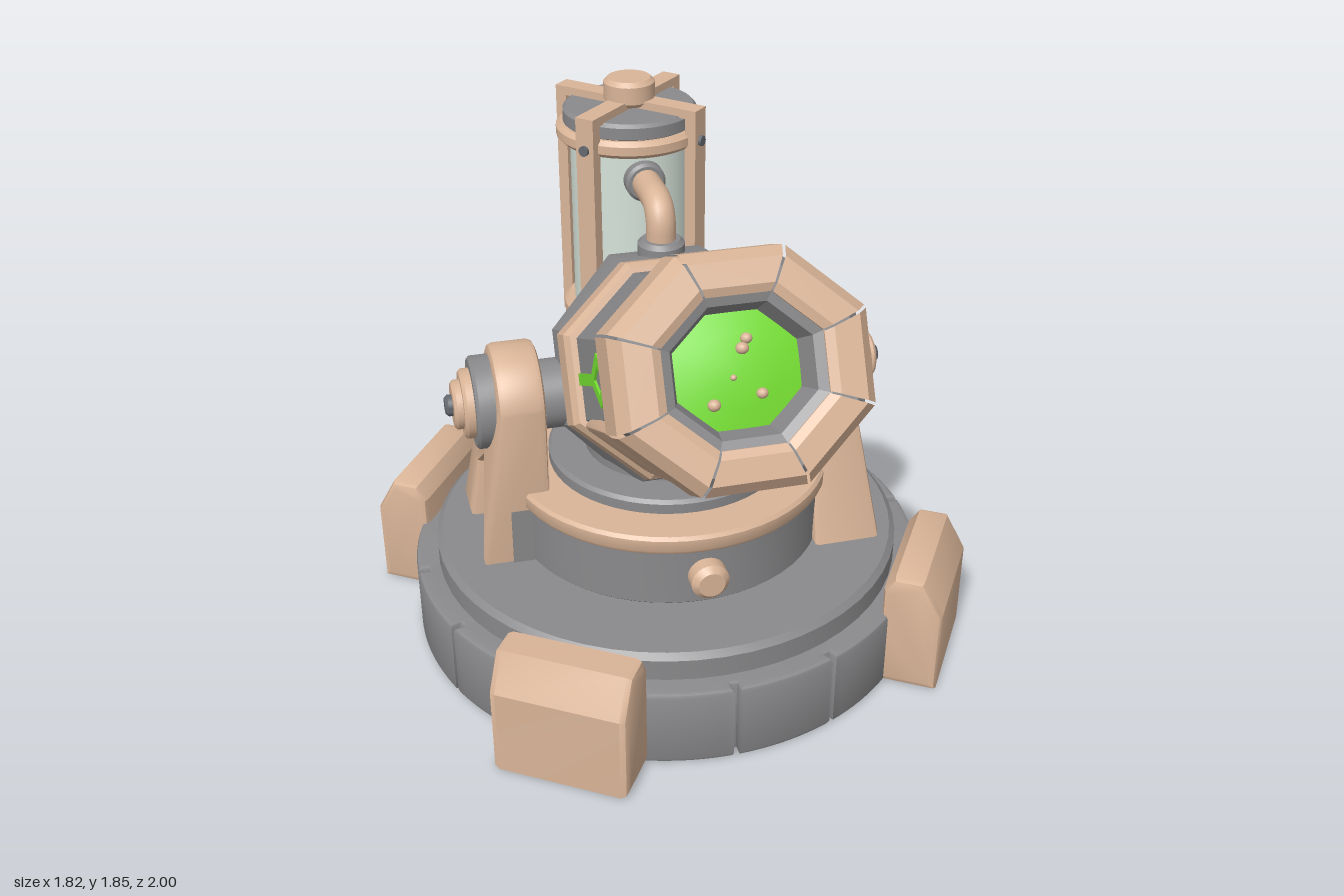
import * as THREE from 'three';
import { toCreasedNormals } from 'three/addons/utils/BufferGeometryUtils.js';

const material = (name, color) => {
  const m = new THREE.MeshStandardMaterial({ color });
  m.name = name;
  return m;
};

export function createModel() {
  const tan = material('tan', 0xdab598);
  const grey = material('grey', 0x8a8a8c);
  const green = material('green', 0x74dc30);
  const glass = material('glass', 0xd6e3da);
  const dark = material('dark grey', 0x666a70);

  const add = (parent, name, geo, mat, x = 0, y = 0, z = 0) => {
    const m = new THREE.Mesh(geo, mat);
    m.name = name;
    m.position.set(x, y, z);
    parent.add(m);
    return m;
  };
  const group = (parent, name, x = 0, y = 0, z = 0) => {
    const g = new THREE.Group();
    g.name = name;
    g.position.set(x, y, z);
    parent.add(g);
    return g;
  };
  const vecs = (pts, k = 1) => pts.map(([r, h]) => new THREE.Vector2(r * k, h));
  // round solid from a profile of [radius, height]
  const turned = (pts, seg = 56) => toCreasedNormals(new THREE.LatheGeometry(vecs(pts), seg), 0.6);
  // bevelled disc from y0 to y1
  const disc = (r, y0, y1, b = 0.012, seg = 56) =>
    turned([[0, y0], [r - b, y0], [r, y0 + b], [r, y1 - b], [r - b, y1], [0, y1]], seg);
  // eight-sided solid along z from [apothem, z] points, flats facing up and down
  const K = 1 / Math.cos(Math.PI / 8);
  const octagon = (pts, crease = 0.3) => toCreasedNormals(
    new THREE.LatheGeometry(vecs(pts, K), 8, Math.PI / 8, Math.PI * 2).rotateX(Math.PI / 2), crease);
  // one side of such a solid; side 0 faces down
  const panel = (pts, k, gap) => toCreasedNormals(
    new THREE.LatheGeometry(vecs(pts, K), 1, (k - 0.5) * Math.PI / 4 + gap, Math.PI / 4 - 2 * gap)
      .rotateX(Math.PI / 2), 0.3);
  const polygon = (pts) => new THREE.Shape(vecs(pts));
  const extrude = (shape, depth, bevel = 0, curveSegments = 16) => toCreasedNormals(
    new THREE.ExtrudeGeometry(shape, {
      depth: depth - 2 * bevel, bevelEnabled: bevel > 0, bevelSize: bevel, bevelOffset: -bevel,
      bevelThickness: bevel, bevelSegments: 2, curveSegments,
    }).translate(0, 0, bevel), 0.5);

  const model = new THREE.Group();
  model.name = 'turretModel';

  // ---- base with notched rim and four corner feet
  const base = group(model, 'base', 0, 0, -0.09);
  const rim = new THREE.Shape();
  const notch = 0.009;
  for (let k = 0; k < 4; k++) {
    const c = k * Math.PI / 2;
    [[c - 0.2, c + 0.2], [c + 0.2, c + Math.PI / 2 - 0.2]].forEach(([a, b]) => {
      rim.absarc(0, 0, 0.91, a + notch, b - notch, false);
      rim.absarc(0, 0, 0.875, b - notch, b + notch, false);
    });
  }
  add(base, 'baseRim', extrude(rim, 0.28, 0.015).rotateX(-Math.PI / 2), grey);
  add(base, 'basePlate', disc(0.83, 0.2, 0.375, 0.02), grey);

  const footProfile = polygon([[0.83, 0], [1.06, 0], [1.06, 0.31], [0.99, 0.435], [0.89, 0.435], [0.855, 0.38], [0.855, 0.2]]);
  for (let k = 0; k < 4; k++) {
    const foot = group(base, 'foot');
    foot.rotation.y = Math.PI / 4 + k * Math.PI / 2;
    add(foot, 'footBlock', extrude(footProfile, 0.47, 0.025), tan, 0, 0, -0.235);
  }

  // ---- rotating turntable
  const turret = group(model, 'turret', 0, 0, -0.08);
  turret.rotation.y = -0.21;
  add(turret, 'drum', disc(0.545, 0.36, 0.6, 0.02), grey);
  add(turret, 'drumRing', turned([[0.4, 0.585], [0.555, 0.585], [0.565, 0.6], [0.565, 0.64], [0.555, 0.652], [0.4, 0.652]]), tan);
  add(turret, 'upperPlate', disc(0.42, 0.6, 0.7), grey);
  add(turret, 'neck', disc(0.29, 0.68, 0.83), grey);
  add(turret, 'frontKnob', disc(0.065, 0, 0.1, 0.02, 28).rotateX(Math.PI / 2), tan, 0, 0.485, 0.51);

  // ---- side posts with hubs and chevron panels
  const postShape = new THREE.Shape();
  postShape.moveTo(0.335, 0.37);
  postShape.absarc(0, 0.94, 0.19, 0.15, Math.PI - 0.15, false);
  [[-0.335, 0.37], [-0.16, 0.37], [-0.16, 0.6], [0, 0.735], [0.16, 0.6], [0.16, 0.37]]
    .forEach(([x, y]) => postShape.lineTo(x, y));
  const postRaw = new THREE.ExtrudeGeometry(postShape, {
    depth: 0.115, bevelSize: 0.022, bevelOffset: -0.022, bevelThickness: 0.022, bevelSegments: 2, curveSegments: 20,
  }).rotateY(Math.PI / 2).translate(0.475, 0, 0);
  // the outer face leans outward toward the foot
  const pos = postRaw.attributes.position;
  for (let i = 0; i < pos.count; i++) {
    if (pos.getX(i) > 0.54) pos.setX(i, pos.getX(i) + Math.max(0, 0.94 - pos.getY(i)) * 0.15);
  }
  const postGeo = toCreasedNormals(postRaw, 0.5);
  const insetShape = polygon([[-0.17, 0.37], [0.17, 0.37], [0.17, 0.61], [0, 0.745], [-0.17, 0.61]]);
  const chevron = (y) => polygon([[-0.15, y + 0.085], [-0.15, y + 0.035], [0, y - 0.045], [0.15, y + 0.035],
    [0.15, y + 0.085], [0, y + 0.01]]);
  const marks = [chevron(0.425), chevron(0.515),
    polygon([[0, 0.595], [0.05, 0.645], [0, 0.695], [-0.05, 0.645]])];
  for (const side of [1, -1]) {
    const mount = group(turret, side > 0 ? 'leftMount' : 'rightMount');
    if (side < 0) mount.rotation.y = Math.PI;
    add(mount, 'post', postGeo, tan);
    add(mount, 'postInset', extrude(insetShape, 0.1).rotateY(Math.PI / 2), grey, 0.49);
    marks.forEach((s) => add(mount, 'chevronMark', extrude(s, 0.009).rotateY(Math.PI / 2), green, 0.5905));
    const hubs = [['axle', 0.12, 0.2, 0.5, grey], ['hubDisc', 0.16, 0.6, 0.68, grey],
      ['hubCap', 0.12, 0.66, 0.715, tan], ['hubBoss', 0.085, 0.7, 0.745, tan], ['hubPin', 0.037, 0.73, 0.77, dark]];
    hubs.forEach(([n, r, a, b, m]) => add(mount, n, disc(r, a, b, 0.01, 32).rotateZ(-Math.PI / 2), m, 0, 0.935));
  }

  // ---- cannon, pitched up
  const pitch = group(turret, 'cannon', 0, 0.935, 0);
  pitch.rotation.x = -26.7 * Math.PI / 180;
  const cannon = group(pitch, 'cannonBody', 0, 0.05, 0);
  cannon.scale.y = 0.9;
  add(cannon, 'breech', octagon([[0, -0.24], [0.17, -0.24], [0.18, -0.22], [0.26, -0.21], [0.38, -0.1], [0.44, 0.03],
    [0.412, 0.19], [0.37, 0.28], [0, 0.28]], 0.5), grey).scale.x = 0.87;
  add(cannon, 'collar', octagon([[0.3, 0.225], [0.38, 0.225], [0.4, 0.245], [0.393, 0.33], [0.375, 0.355], [0.3, 0.355]]), tan);
  add(cannon, 'barrel', octagon([[0.36, 0.3], [0.305, 0.85], [0.355, 0.905], [0.35, 1.03], [0.32, 1.06], [0.245, 1.06],
    [0.21, 1.045], [0.185, 0.96]]), grey);
  for (let k = 0; k < 8; k++) {
    add(cannon, 'muzzleSegment', panel([[0.295, 0.855], [0.35, 0.86], [0.387, 0.9], [0.38, 1.03], [0.345, 1.075],
      [0.265, 1.08], [0.238, 1.065], [0.238, 1.03]], k, 0.012), tan);
  }
  add(cannon, 'muzzleLens', turned([[0.21, 0.962], [0.12, 0.98], [0, 0.99]], 32).rotateX(Math.PI / 2), green);
  [[0.03, 0.1, 0.018], [0.015, 0.07, 0.02], [-0.085, -0.1, 0.02], [0.06, -0.08, 0.018], [-0.02, -0.02, 0.01]]
    .forEach(([x, y, r]) => add(cannon, 'bubble', new THREE.SphereGeometry(r, 14, 10), tan, x, y, 0.988));

  // guard plates and small marks under the barrel
  const guardGeo = extrude(polygon([[-0.1, 0.27], [0.1, 0.27], [0.145, 0.4], [0.145, 0.75], [-0.145, 0.75], [-0.145, 0.4]]), 0.045, 0.012)
    .rotateX(Math.PI / 2);
  for (const k of [-1, 0, 1]) {
    const holder = group(cannon, 'barrelUnderside');
    holder.rotation.z = k * Math.PI / 4;
    add(holder, 'guardPlate', guardGeo, tan, 0, k ? -0.333 : -0.313, 0);
    add(holder, 'lowerMark', new THREE.BoxGeometry(0.1, 0.009, 0.07), green, 0, -0.311, 0.805).rotation.x = 0.1;
  }

  // diamond and bar marks on both barrel flanks
  const diamond = polygon([[0.09, 0], [0, 0.095], [-0.09, 0], [0, -0.095]]);
  diamond.holes.push(new THREE.Path(vecs([[0.048, 0], [0, -0.05], [-0.048, 0], [0, 0.05]])));
  const bar = polygon([[0.07, -0.021], [0.225, -0.021], [0.225, 0.021], [0.07, 0.021]]);
  for (const side of [0, 1]) {
    const flank = group(cannon, 'flankMark');
    flank.rotation.z = side * Math.PI;
    [diamond, bar].forEach((s) => {
      add(flank, 'flankMarkPlate', extrude(s, 0.009).rotateY(Math.PI / 2), green, 0.331, 0, 0.58).rotation.y = -0.1;
    });
  }

  // ---- tank in its cage behind the cannon
  const tank = group(turret, 'tank', 0, 0, -0.525);
  const hoop = (y0, y1, r) => turned([[0.15, y0], [r - 0.015, y0], [r, y0 + 0.015], [r, y1 - 0.015], [r - 0.015, y1], [0.15, y1]], 40);
  add(tank, 'glassTube', new THREE.CylinderGeometry(0.212, 0.212, 0.7, 40), glass, 0, 1.33, 0);
  add(tank, 'tankFloor', disc(0.215, 0.87, 0.92), grey);
  add(tank, 'lowerHoop', hoop(0.9, 1.02, 0.25), tan);
  add(tank, 'upperHoop', hoop(1.64, 1.7, 0.26), tan);
  add(tank, 'tankLid', disc(0.235, 1.69, 1.755), grey);
  add(tank, 'tankCap', disc(0.09, 1.76, 1.85, 0.015, 28), tan);
  for (let k = 0; k < 4; k++) {
    const strut = group(tank, 'cageStrut');
    strut.rotation.y = Math.PI / 4 + k * Math.PI / 2;
    add(strut, 'strutArm', new THREE.BoxGeometry(0.287, 0.032, 0.07), tan, 0.1435, 1.766, 0);
    add(strut, 'strutPost', new THREE.BoxGeometry(0.042, 0.87, 0.07), tan, 0.266, 1.335, 0);
    for (const y of [0.96, 1.67]) {
      add(strut, 'strutBolt', new THREE.CylinderGeometry(0.018, 0.018, 0.02, 14).rotateZ(Math.PI / 2), dark, 0.288, y, 0);
    }
  }

  // ---- pipes: straight, rounded bend, straight
  const pipe = (name, a, corner, b, r, bend) => {
    const [A, C, B] = [a, corner, b].map(([y, z]) => new THREE.Vector3(0, y, z));
    const p = C.clone().add(A.clone().sub(C).setLength(bend));
    const q = C.clone().add(B.clone().sub(C).setLength(bend));
    const path = new THREE.CurvePath();
    path.add(new THREE.LineCurve3(A, p));
    path.add(new THREE.QuadraticBezierCurve3(p, C, q));
    path.add(new THREE.LineCurve3(q, B));
    add(turret, name, new THREE.TubeGeometry(path, 36, r, 18), tan);
  };
  pipe('upperPipe', [1.55, -0.33], [1.55, -0.07], [1.36, -0.07], 0.05, 0.09);
  pipe('lowerPipe', [0.9, -0.525], [0.71, -0.525], [0.71, -0.25], 0.05, 0.1);
  add(turret, 'pipeSocket', disc(0.08, 1.3, 1.435, 0.015, 28), grey, 0, 0, -0.07);
  add(turret, 'pipeFitting', disc(0.07, 0, 0.06, 0.01, 28).rotateX(Math.PI / 2), grey, 0, 1.55, -0.335);

  return model;
}
